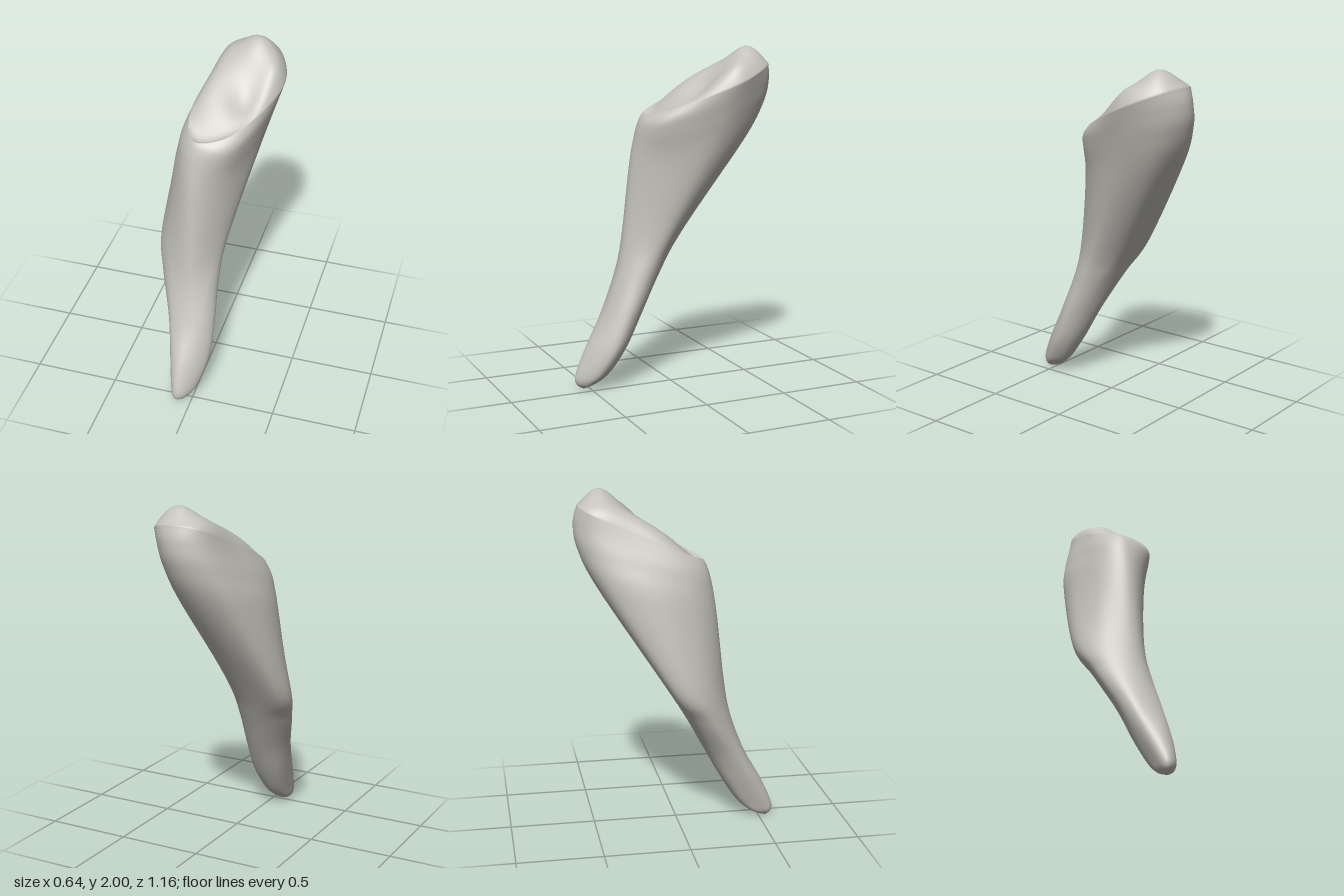
import * as THREE from 'three';

// Cross-sections from the tip up to the rim, each in a plane tilted front to back:
// front y, front z, back y, back z, back x, -x edge, +x edge, z of both edges
const SECTIONS = [
  [0.002, 0.545, 0.002, 0.525, -0.07, -0.08, -0.06, 0.535],
  [0.035, 0.578, 0.03, 0.455, -0.065, -0.108, -0.015, 0.515],
  [0.10, 0.572, 0.10, 0.37, -0.05, -0.122, 0.03, 0.465],
  [0.25, 0.505, 0.25, 0.27, -0.05, -0.155, 0.07, 0.38],
  [0.45, 0.395, 0.45, 0.16, -0.07, -0.205, 0.075, 0.285],
  [0.68, 0.31, 0.68, 0.035, -0.12, -0.28, 0.066, 0.165],
  [0.90, 0.27, 0.90, -0.10, -0.16, -0.32, 0.085, 0.05],
  [1.30, 0.225, 1.45, -0.458, -0.01, -0.255, 0.20, -0.155],
  [1.48, 0.195, 1.68, -0.565, 0.05, -0.195, 0.255, -0.22],
  [1.57, 0.168, 1.82, -0.58, 0.08, -0.15, 0.29, -0.245],
  [1.61, 0.145, 1.91, -0.555, 0.09, -0.12, 0.314, -0.27]
];
const FRONT_X = -0.08, STEPS = 8, SIDES = 64, TOP_STEPS = 20;
const TOP_X = 0.09, TOP_Z = -0.2;
const smooth = THREE.MathUtils.smoothstep;

// Smooth interpolation of all section values between neighbouring sections
function sectionAt(v) {
  const last = SECTIONS.length - 1;
  const i = Math.min(Math.floor(v), last - 1), t = v - i;
  const row = n => SECTIONS[Math.max(0, Math.min(last, n))];
  const [p, q, r, s] = [row(i - 1), row(i), row(i + 1), row(i + 2)];
  return q.map((b, c) => {
    const m0 = (r[c] - p[c]) / 2, m1 = (s[c] - b) / 2, d = r[c] - b;
    return b + t * (m0 + t * (3 * d - 2 * m0 - m1 + t * (m0 + m1 - 2 * d)));
  });
}

// Closed outline of one section, counter-clockwise seen from above
function ringPoints(v) {
  const [yF, zF, yB, zB, xB, xL, xR, zSide] = sectionAt(v);
  const cx = (xL + xR) / 2, cz = (zF + zB) / 2;
  const corner = (a, b, f) => [cx + f * (a[0] + b[0] - 2 * cx), cz + f * (a[1] + b[1] - 2 * cz)];
  const F = [FRONT_X, zF], R = [xR, zSide], B = [xB, zB], L = [xL, zSide];
  // The front +x side is flattened at mid height and full at the rim
  const kR = 0.7 - 0.06 * smooth(v, 4, 6) + 0.26 * smooth(v, 6, 9);
  const kL = 0.7 - 0.05 * smooth(v, 8, 10);
  const keys = [F, corner(F, R, kR), R, corner(R, B, 0.7), B, corner(B, L, 0.7), L, corner(L, F, kL)];
  const curve = new THREE.CatmullRomCurve3(keys.map(([x, z]) => new THREE.Vector3(x, 0, z)), true, 'catmullrom', 0.5);
  return Array.from({ length: SIDES }, (_, j) => {
    const p = curve.getPoint(j / SIDES);
    p.y = yF + (yB - yF) * (p.z - zF) / (zB - zF);
    return p;
  });
}

// Height of the slanted top: a rising ramp with soft knobs and a hollow
function topHeight(x, z) {
  const bump = (h, bx, bz, r) => h * Math.exp(-((x - bx) ** 2 + (z - bz) ** 2) / (r * r));
  return 1.705 - 0.88 * z - 0.85 * z * z
    + bump(0.082, 0.13, -0.43, 0.12) + bump(0.02, 0.28, -0.3, 0.07) + bump(-0.06, 0.14, -0.12, 0.11);
}

// Point on the top, t = 0 at the rim and 1 at the centre, rounded over at the rim
function topPoint(rim, t) {
  const inward = t ** 1.4;
  const x = THREE.MathUtils.lerp(rim.x, TOP_X, inward);
  const z = THREE.MathUtils.lerp(rim.z, TOP_Z, inward);
  const y = THREE.MathUtils.lerp(topHeight(x, z), rim.y, (1 - inward) ** 6);
  return new THREE.Vector3(x, y, z);
}

function boneGeometry() {
  const points = [], index = [];
  const sideRows = (SECTIONS.length - 1) * STEPS;
  for (let i = 0; i <= sideRows; i++) points.push(...ringPoints(i / STEPS));
  const rim = points.slice(-SIDES);
  for (let i = 1; i < TOP_STEPS; i++) points.push(...rim.map(p => topPoint(p, i / TOP_STEPS)));

  const rows = sideRows + TOP_STEPS - 1;
  for (let i = 0; i < rows; i++) {
    for (let j = 0; j < SIDES; j++) {
      const a = i * SIDES + j, b = i * SIDES + (j + 1) % SIDES;
      index.push(a, b, b + SIDES, a, b + SIDES, a + SIDES);
    }
  }
  // Close the tip and the middle of the top
  const top = rows * SIDES, low = points.length, high = low + 1;
  points.push(new THREE.Vector3(-0.07, 0, 0.535), topPoint(rim[0], 1));
  for (let j = 0; j < SIDES; j++) {
    const n = (j + 1) % SIDES;
    index.push(low, n, j, high, top + j, top + n);
  }
  const geometry = new THREE.BufferGeometry().setFromPoints(points);
  geometry.setIndex(index);
  geometry.computeVertexNormals();
  return geometry;
}

export function createModel() {
  const bone = new THREE.MeshStandardMaterial({ color: 0xc4c2bb });
  bone.name = 'bone grey';
  const body = new THREE.Mesh(boneGeometry(), bone);
  body.name = 'boneBody';
  const group = new THREE.Group();
  group.name = 'bone';
  group.add(body);
  return group;
}
